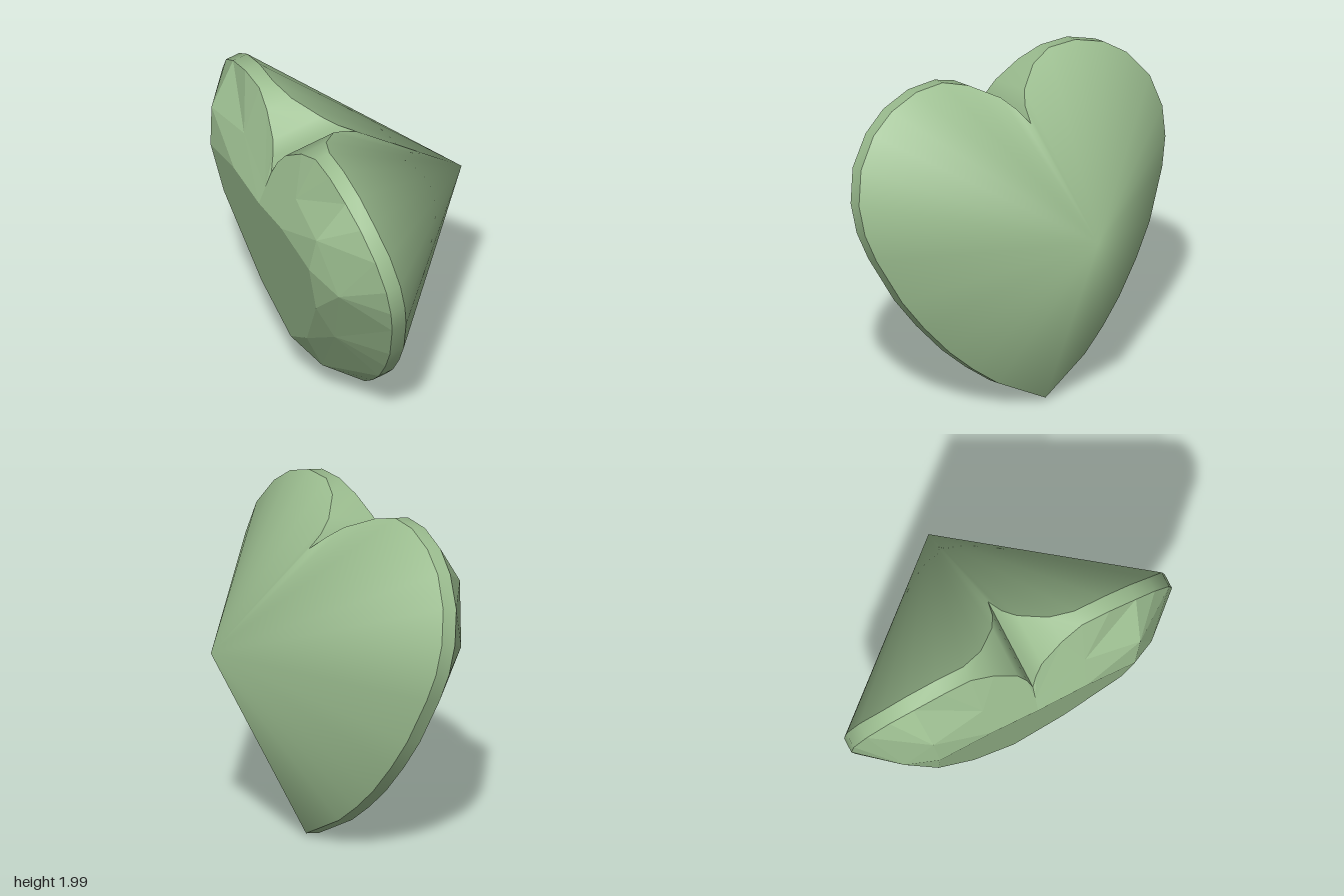
import * as THREE from 'three';
import { mergeVertices } from 'three/addons/utils/BufferGeometryUtils.js';

const CENTRE_Y = 1.09;
const P = (x, y, z) => new THREE.Vector3(x, y, z);
const angle = p => Math.atan2(p.x, p.y - CENTRE_Y);
// Angle of the middle of the segment that follows point i, or Infinity at the end
const nextAngle = (ring, i) =>
  i < ring.length - 1 ? (angle(ring[i]) + angle(ring[i + 1])) / 2 : Infinity;

// Joins two half rings (front one first) running from the cleft to the tip, by angle.
function strip(front, back) {
  const tris = [];
  let i = 0, j = 0;
  while (i < front.length - 1 || j < back.length - 1) {
    if (nextAngle(front, i) <= nextAngle(back, j)) {
      tris.push([front[i], front[i + 1], back[j]]);
      i++;
    } else {
      tris.push([back[j], front[i], back[j + 1]]);
      j++;
    }
  }
  return tris;
}

// Turns half-model triangles into a geometry for the given sides (1 or mirrored -1).
function surface(tris, sides, smooth) {
  const pos = [];
  for (const s of sides) {
    for (const t of tris) {
      const order = s > 0 ? t : [t[0], t[2], t[1]];
      for (const p of order) pos.push(p.x * s, p.y, p.z);
    }
  }
  let geo = new THREE.BufferGeometry();
  geo.setAttribute('position', new THREE.Float32BufferAttribute(pos, 3));
  if (smooth) geo = mergeVertices(geo, 1e-4);
  geo.computeVertexNormals();
  return geo;
}

export function createModel() {
  const gem = new THREE.Group();
  gem.name = 'heartGem';
  const add = (name, geo, flatShading) => {
    const mat = new THREE.MeshStandardMaterial({ color: 0x9dbf91, flatShading });
    const mesh = new THREE.Mesh(geo, mat);
    mesh.name = name;
    gem.add(mesh);
  };

  // Half outline of the heart: x, y, front edge depth, back edge depth
  const outline = [
    [0, 1.70, 0.25, -0.30], [0.03, 1.78, 0.21, -0.21], [0.08, 1.85, 0.17, -0.14],
    [0.22, 1.945, 0.12, -0.04], [0.36, 1.995, 0.09, 0], [0.54, 1.99, 0.09, 0],
    [0.72, 1.925, 0.09, 0], [0.86, 1.82, 0.085, 0], [0.98, 1.65, 0.08, -0.01],
    [1.03, 1.45, 0.075, -0.015], [1.02, 1.27, 0.075, -0.015], [0.97, 1.10, 0.075, -0.015],
    [0.84, 0.81, 0.08, -0.01], [0.72, 0.62, 0.085, -0.005], [0.575, 0.43, 0.09, 0],
    [0.44, 0.29, 0.09, 0], [0.295, 0.165, 0.09, 0], [0, -0.01, 0.09, 0],
  ];
  const frontEdge = outline.map(([x, y, f]) => P(x, y, f));
  const backEdge = outline.map(([x, y, , b]) => P(x, y, b));

  // Flat table and the ring of facet corners around it
  const table = [[0, 1.52], [0.305, 1.56], [0.63, 1.49], [0.59, 1.15], [0.29, 0.67], [0, 0.455]]
    .map(([x, y]) => P(x, y, 0.365));
  const facets = [[0, 1.61, 0.308], [0.33, 1.75, 0.25], [0.67, 1.715, 0.295], [0.80, 1.36, 0.285],
    [0.55, 0.84, 0.285], [0.15, 0.285, 0.27], [0, 0.285, 0.27]].map(c => P(...c));

  const both = [1, -1];
  add('table', surface(strip([P(0, CENTRE_Y, 0.365)], table), both, false), true);
  add('crownFacets', surface(
    [...strip(table, facets), ...strip(facets, frontEdge)], both, false), true);
  const band = strip(frontEdge, backEdge);
  add('leftRim', surface(band, [1], true), false);
  add('rightRim', surface(band, [-1], true), false);
  add('pointedBack', surface(strip(backEdge, [P(0, CENTRE_Y, -0.86)]), both, true), false);

  // Leaning pose: turned about the vertical, tilted back and rolled slightly
  const across = P(0.607, 0, 0.795).normalize();
  const away = P(0.795, 0, -0.607).normalize();
  const up = P(0, 0.979, 0).addScaledVector(away, -0.2055).normalize();
  const out = across.clone().cross(up);
  const roll = 0.035;
  const xAxis = across.clone().multiplyScalar(Math.cos(roll)).addScaledVector(up, -Math.sin(roll));
  const yAxis = up.clone().multiplyScalar(Math.cos(roll)).addScaledVector(across, Math.sin(roll));
  gem.quaternion.setFromRotationMatrix(new THREE.Matrix4().makeBasis(xAxis, yAxis, out));
  gem.position.set(0.199, 0.03, -0.236);

  const model = new THREE.Group();
  model.name = 'model';
  model.add(gem);
  return model;
}
